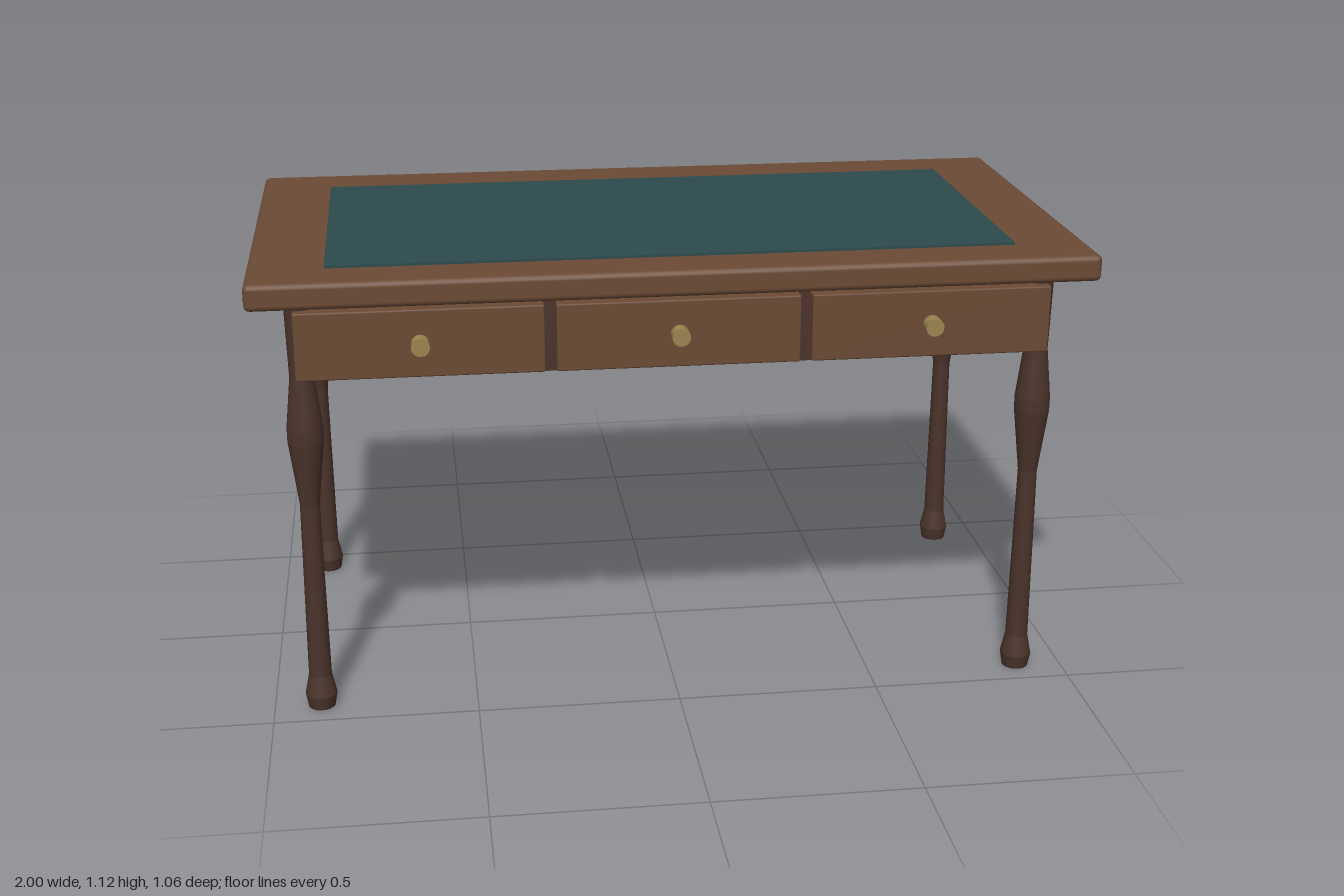
import * as THREE from 'three';
import { RoundedBoxGeometry } from 'three/addons/geometries/RoundedBoxGeometry.js';

const paint = (color) => new THREE.MeshStandardMaterial({ color });

export function createModel() {
  const desk = new THREE.Group();
  desk.name = 'writingDesk';

  const wood = paint(0x6b4a35);
  const darkWood = paint(0x4a332b);
  const leather = paint(0x2c4a4c);
  const brass = paint(0x9a8450);

  const add = (name, geometry, material, x, y, z) => {
    const mesh = new THREE.Mesh(geometry, material);
    mesh.name = name;
    mesh.position.set(x, y, z);
    desk.add(mesh);
    return mesh;
  };

  // Table top with softened edges, and the inset writing surface
  add('tableTop', new RoundedBoxGeometry(2, 0.064, 1.056, 2, 0.014), wood, 0, 1.085, 0);
  add('writingSurface', new THREE.BoxGeometry(1.64, 0.02, 0.77), leather, 0, 1.113, 0.02);

  // Closed carcass under the top
  add('apron', new THREE.BoxGeometry(1.77, 0.196, 0.84), darkWood, 0, 0.949, 0);

  // Three drawer fronts, each with a round knob
  const drawerShape = new RoundedBoxGeometry(0.58, 0.164, 0.058, 1, 0.004);
  const knobShape = new THREE.CylinderGeometry(0.022, 0.022, 0.036, 16).rotateX(Math.PI / 2);
  for (const x of [-0.607, 0, 0.607]) {
    add('drawerFront', drawerShape, wood, x, 0.948, 0.444);
    add('drawerKnob', knobShape, brass, x, 0.948, 0.488);
  }

  // Turned legs: foot, slim shaft, swelling and straight upper block
  const profile = [
    [0, 0], [0.033, 0], [0.039, 0.035], [0.028, 0.088], [0.0235, 0.54],
    [0.043, 0.7], [0.043, 0.735], [0.029, 0.86], [0.033, 1.047], [0, 1.047],
  ];
  // Each section is turned separately so the edges between them stay crisp
  for (const x of [-0.885, 0.885]) {
    for (const z of [-0.417, 0.417]) {
      const leg = new THREE.Group();
      leg.name = 'leg';
      leg.position.set(x, 0, z);
      for (let i = 0; i < profile.length - 1; i++) {
        const ends = [profile[i], profile[i + 1]].map(([r, y]) => new THREE.Vector2(r, y));
        const section = new THREE.Mesh(new THREE.LatheGeometry(ends, 16), darkWood);
        section.name = 'legSection';
        leg.add(section);
      }
      desk.add(leg);
    }
  }

  return desk;
}
